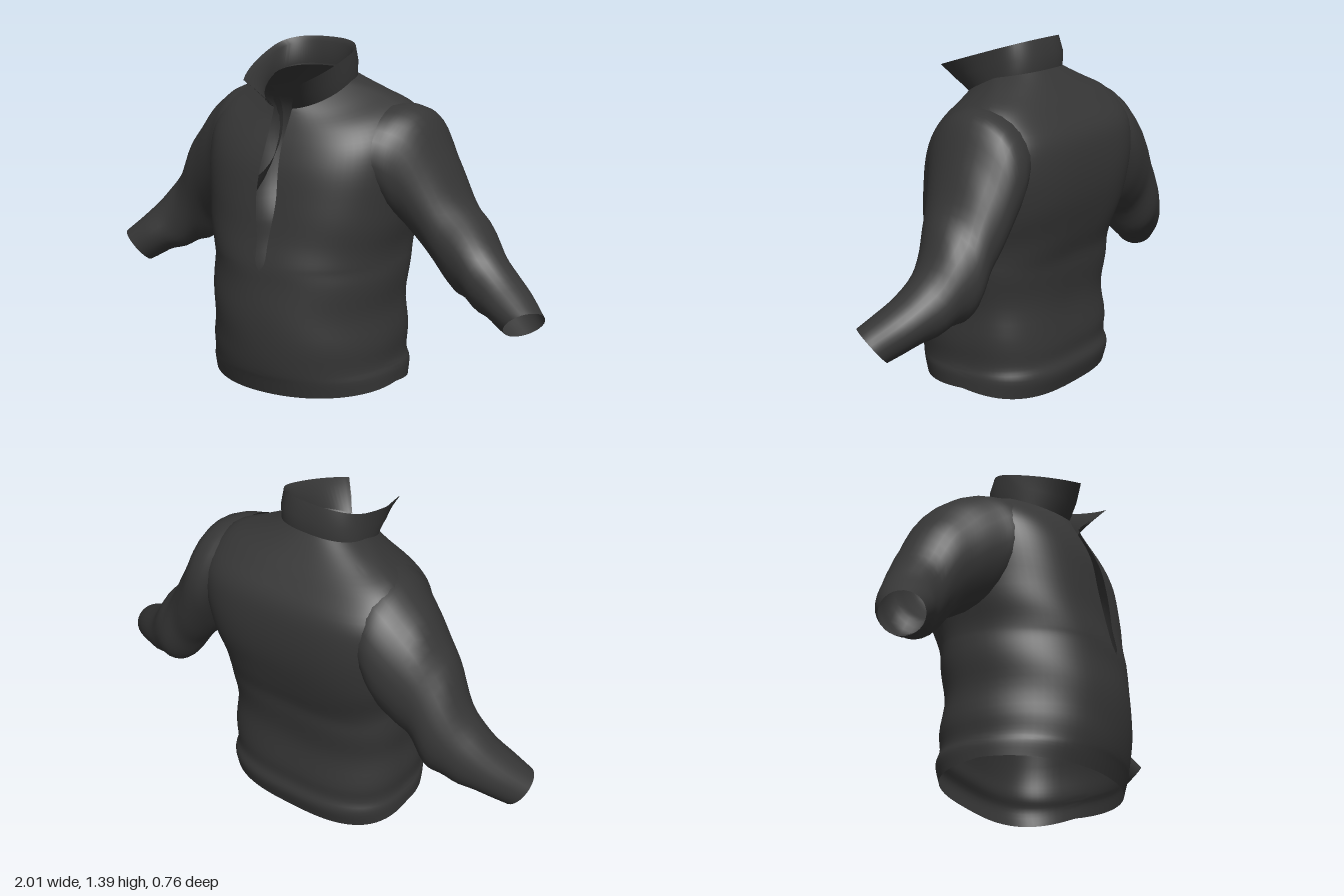
import * as THREE from 'three';
import { mergeVertices, toCreasedNormals } from 'three/addons/utils/BufferGeometryUtils.js';

const cloth = new THREE.MeshStandardMaterial({ color: 0x363636, roughness: 0.9, side: THREE.DoubleSide });

// Skins a list of equally long rings, smoothing along each column with `sub` steps per ring
function loft(name, rings, sub, warp) {
  const cols = rings[0].length;
  const rows = (rings.length - 1) * sub + 1;
  const pos = [], index = [];
  const curves = rings[0].map((_, c) => new THREE.CatmullRomCurve3(rings.map(r => r[c])));
  for (let r = 0; r < rows; r++) {
    for (let c = 0; c < cols; c++) {
      const p = curves[c].getPoint(r / (rows - 1));
      if (warp) warp(p);
      pos.push(p.x, p.y, p.z);
      if (r < rows - 1 && c < cols - 1) {
        const a = r * cols + c, b = a + cols;
        index.push(a, a + 1, b, a + 1, b + 1, b);
      }
    }
  }
  let geo = new THREE.BufferGeometry();
  geo.setAttribute('position', new THREE.Float32BufferAttribute(pos, 3));
  geo.setIndex(index);
  geo = toCreasedNormals(mergeVertices(geo, 1e-4), 1.0);
  const mesh = new THREE.Mesh(geo, cloth);
  mesh.name = name;
  return mesh;
}

// Ring around the body, open at the front by the half gap g.
// w: half width, ys/zs: height and depth at the sides, yF/zF: front, yB/zB: back,
// eF/eB: roundness of the front and back halves (1 = ellipse, smaller = squarer)
function bodyRing([w, ys, zs, yF, zF, yB, zB, g, eF = 1, eB = 0.78], segments = 72) {
  const t0 = Math.asin(Math.pow(g / w, 1 / eF)), ring = [];
  for (let i = 0; i <= segments; i++) {
    const t = t0 + (2 * Math.PI - 2 * t0) * i / segments;
    const s = Math.sin(t), c = Math.cos(t), front = c > 0;
    const e = front ? eF : eB;
    const k = Math.pow(Math.abs(c), e);
    ring.push(new THREE.Vector3(
      -0.018 + w * Math.sign(s) * Math.pow(Math.abs(s), e),
      ys + ((front ? yF : yB) - ys) * k,
      zs + ((front ? zF : zB) - zs) * k));
  }
  return ring;
}

// Sleeve ring from its upper point, lower point and depth range; tilt turns it to face forwards
function sleeveRing([tx, ty, bx, by, z0, z1, tilt = 0], side, segments = 28) {
  const ring = [];
  for (let i = 0; i <= segments; i++) {
    const t = side * 2 * Math.PI * i / segments;
    const c = Math.cos(t) / 2, s = Math.sin(t) / 2;
    ring.push(new THREE.Vector3(
      side * ((tx + bx) / 2 + (tx - bx) * c - tilt * s),
      (ty + by) / 2 + (ty - by) * c + tilt * s,
      (z0 + z1) / 2 + (z1 - z0) * s));
  }
  return ring;
}

// Soft horizontal folds on the lower body, strongest at the sides
function bodyFolds(p) {
  const fade = THREE.MathUtils.smoothstep(p.y, 0.1, 0.25) * (1 - THREE.MathUtils.smoothstep(p.y, 0.6, 0.85));
  const k = 1 + 0.012 * fade * Math.min(1, Math.abs(p.x) * 2.5) * Math.sin(24 * p.y + 7 * p.x + 3 * p.z);
  p.x *= k;
  p.z *= k;
}

// Diagonal folds around the elbow
function sleeveFolds(p) {
  const d = (Math.abs(p.x) - 0.66) / 0.13;
  p.y += 0.008 * Math.exp(-d * d) * Math.sin(42 * Math.abs(p.x) + 14 * p.z);
}

export function createModel() {
  const group = new THREE.Group();
  group.name = 'pulloverJacket';

  // Body from the hem to the neckline, with the front placket open
  const neck = [0.182, 1.245, -0.03, 1.15, 0.19, 1.27, -0.17, 0.042];
  const bodyRings = [
    [0.405, 0.035, -0.02, 0.018, 0.33, 0.00, -0.30, 0, 0.95, 0.7],
    [0.405, 0.09, -0.02, 0.08, 0.35, 0.08, -0.32, 0, 0.95, 0.7],
    [0.396, 0.12, -0.02, 0.11, 0.36, 0.13, -0.305, 0, 0.95, 0.7],
    [0.395, 0.20, -0.03, 0.20, 0.375, 0.20, -0.305, 0, 0.95, 0.7],
    [0.392, 0.35, -0.04, 0.35, 0.38, 0.35, -0.29, 0, 0.95, 0.72],
    [0.395, 0.48, -0.04, 0.48, 0.365, 0.48, -0.305, 0, 0.93, 0.7],
    [0.398, 0.53, -0.05, 0.53, 0.36, 0.53, -0.31, 0, 0.92, 0.7],
    [0.400, 0.56, -0.05, 0.56, 0.355, 0.56, -0.315, 0.02, 0.9, 0.68],
    [0.412, 0.65, -0.06, 0.65, 0.335, 0.65, -0.34, 0.026, 0.86, 0.65],
    [0.430, 0.80, -0.08, 0.80, 0.31, 0.80, -0.372, 0.046, 0.8, 0.58],
    [0.445, 0.95, -0.10, 0.93, 0.285, 0.94, -0.375, 0.042, 0.8, 0.55],
    [0.440, 1.07, -0.12, 1.01, 0.255, 1.04, -0.355, 0.037, 0.82, 0.58],
    [0.390, 1.16, -0.12, 1.07, 0.225, 1.13, -0.29, 0.038, 0.87, 0.66],
    [0.285, 1.21, -0.09, 1.12, 0.20, 1.20, -0.23, 0.04, 0.95, 0.72],
    neck,
  ];
  group.add(loft('body', bodyRings.map(r => bodyRing(r)), 4, bodyFolds));

  // Stand collar flaring to two points, with its edge folded inwards
  group.add(loft('collar', [
    neck,
    [0.186, 1.295, -0.02, 1.195, 0.262, 1.33, -0.172, 0.08],
    [0.184, 1.35, -0.01, 1.235, 0.372, 1.392, -0.15, 0.122],
    [0.166, 1.33, -0.01, 1.22, 0.345, 1.372, -0.138, 0.108],
    [0.168, 1.25, -0.02, 1.16, 0.20, 1.28, -0.15, 0.045],
  ].map(r => bodyRing(r)), 1));

  // Sleeves flowing out of the chest and shoulder to an open cuff, each hanging a little differently
  const leftRings = [
    [0.34, 1.165, 0.37, 0.76, -0.325, 0.145],
    [0.40, 1.16, 0.40, 0.71, -0.34, 0.125],
    [0.46, 1.13, 0.43, 0.66, -0.34, 0.09],
    [0.54, 0.975, 0.475, 0.60, -0.325, 0.05],
    [0.62, 0.82, 0.53, 0.53, -0.305, 0.02],
    [0.70, 0.71, 0.60, 0.43, -0.30, -0.015],
    [0.80, 0.58, 0.68, 0.39, -0.25, -0.01, 0.01],
    [0.92, 0.49, 0.78, 0.36, -0.18, 0.025, 0.03],
    [1.00, 0.43, 0.88, 0.32, -0.10, 0.05, 0.06],
  ];
  const rightRings = [
    [0.34, 1.18, 0.37, 0.76, -0.325, 0.145],
    [0.40, 1.165, 0.40, 0.69, -0.34, 0.13],
    [0.46, 1.13, 0.44, 0.63, -0.34, 0.10],
    [0.55, 1.05, 0.50, 0.59, -0.325, 0.06],
    [0.65, 0.92, 0.55, 0.56, -0.305, 0.02],
    [0.74, 0.76, 0.62, 0.47, -0.295, -0.015],
    [0.83, 0.64, 0.69, 0.43, -0.26, -0.015, 0.01],
    [0.92, 0.54, 0.78, 0.40, -0.20, 0.015, 0.03],
    [1.00, 0.46, 0.88, 0.345, -0.12, 0.035, 0.05],
  ];
  group.add(loft('leftSleeve', leftRings.map(r => sleeveRing(r, 1)), 4, sleeveFolds));
  group.add(loft('rightSleeve', rightRings.map(r => sleeveRing(r, -1)), 4, sleeveFolds));

  return group;
}
